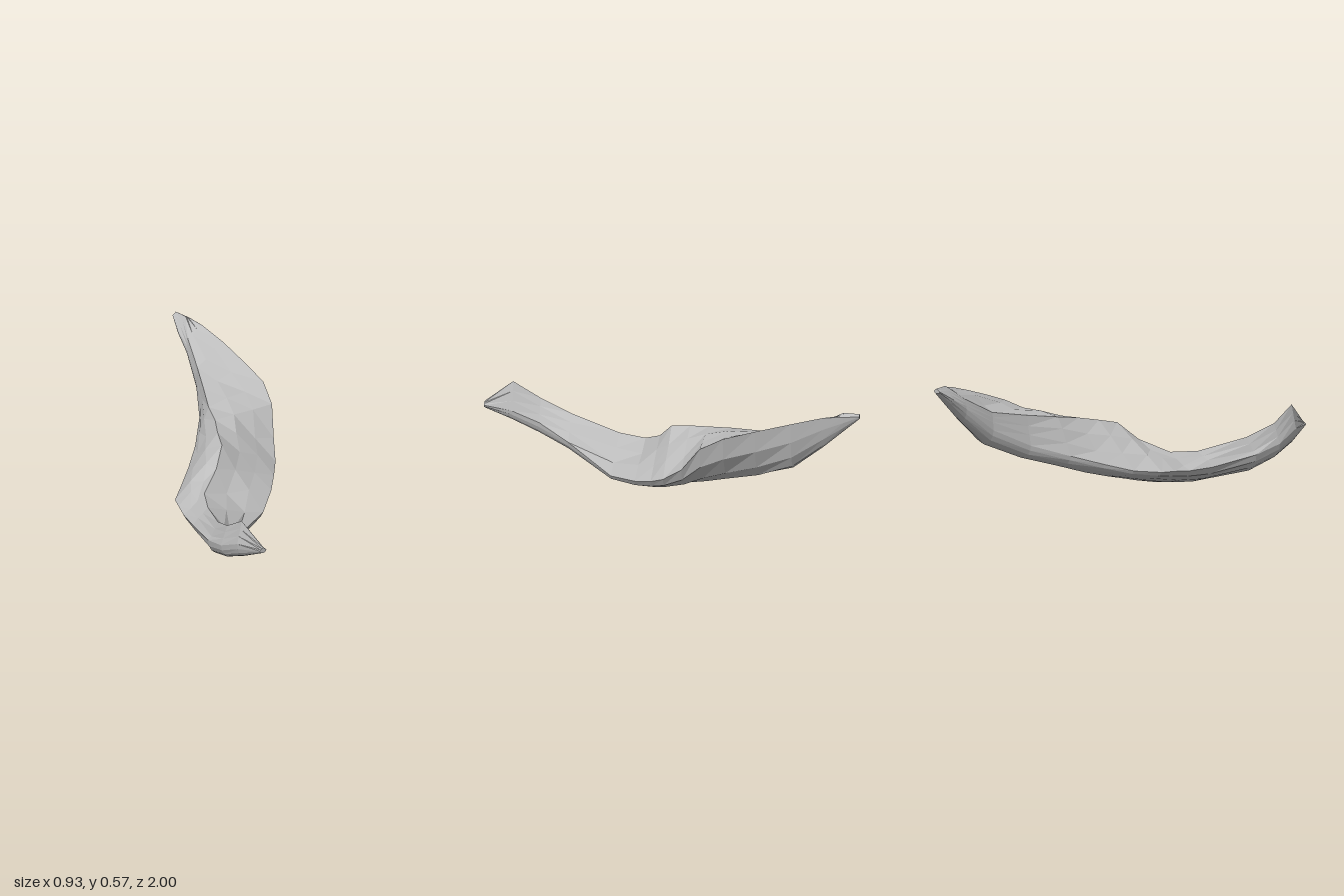
import * as THREE from 'three';

// Cross-sections, front to back: z, left edge x y, ridge x y, right edge x y, bottom x y
const SECTIONS = [
  [1.00, -0.42, 0.235, -0.40, 0.25, -0.38, 0.235, -0.40, 0.22],
  [0.86, -0.462, 0.23, -0.435, 0.35, -0.385, 0.21, -0.42, 0.155],
  [0.72, -0.467, 0.17, -0.43, 0.27, -0.37, 0.16, -0.41, 0.095],
  [0.56, -0.44, 0.13, -0.38, 0.215, -0.27, 0.10, -0.36, 0.04],
  [0.30, -0.36, 0.09, -0.27, 0.165, 0.06, 0.055, -0.15, 0.0],
  [0.16, -0.325, 0.085, -0.20, 0.17, 0.20, 0.085, -0.10, 0.01],
  [0.07, -0.295, 0.09, -0.07, 0.235, 0.275, 0.115, -0.06, 0.025],
  [0.00, -0.27, 0.09, 0.01, 0.32, 0.33, 0.15, -0.03, 0.04],
  [-0.10, -0.17, 0.10, 0.05, 0.34, 0.385, 0.225, 0.0, 0.06],
  [-0.20, -0.06, 0.135, 0.10, 0.358, 0.44, 0.36, 0.06, 0.085],
  [-0.32, 0.06, 0.18, 0.14, 0.372, 0.467, 0.43, 0.14, 0.125],
  [-0.48, 0.19, 0.24, 0.215, 0.392, 0.46, 0.475, 0.25, 0.175],
  [-0.66, 0.288, 0.33, 0.295, 0.42, 0.45, 0.52, 0.35, 0.255],
  [-0.82, 0.335, 0.45, 0.345, 0.50, 0.43, 0.555, 0.375, 0.385],
  [-0.92, 0.347, 0.51, 0.395, 0.575, 0.42, 0.56, 0.385, 0.475],
  [-1.00, 0.37, 0.555, 0.39, 0.57, 0.405, 0.56, 0.39, 0.545],
];
const TOP = 3, UNDER = 4; // subdivisions per quarter

function seeded(seed) {
  return () => (seed = (seed * 16807) % 2147483647) / 2147483647 - 0.5;
}

// Creased straight upper side and rounded underside
function ring([z, lx, ly, tx, ty, rx, ry, bx, by], rand) {
  const pts = [];
  const upper = (ax, ay, cx, cy) => {
    for (let k = 0; k < TOP; k++) {
      const t = k / TOP;
      const crumple = k && Math.abs(z) < 0.7 ? rand() * 0.025 : 0;
      pts.push([ax + (cx - ax) * t, ay + (cy - ay) * t + crumple, z]);
    }
  };
  upper(lx, ly, tx, ty);
  upper(tx, ty, rx, ry);
  for (let k = 0; k < UNDER * 2; k++) {
    const a = (k / UNDER) * Math.PI / 2;
    const [ex, ey] = k < UNDER ? [rx, ry] : [lx, ly];
    pts.push([bx + (ex - bx) * Math.abs(Math.cos(a)), ey + (by - ey) * Math.sin(a), z]);
  }
  return pts;
}

function huskGeometry() {
  const rand = seeded(71);
  const rings = SECTIONS.map((s) => ring(s, rand));
  const n = rings[0].length, last = rings.length - 1;
  const positions = rings.flat(2), index = [];
  for (let i = 0; i < last; i++) {
    for (let j = 0; j < n; j++) {
      const a = i * n + j, b = i * n + (j + 1) % n;
      index.push(a, b, a + n, b, b + n, a + n);
    }
  }
  // Close both tips
  for (let j = 1; j < n - 1; j++) {
    index.push(0, j + 1, j);
    index.push(last * n, last * n + j, last * n + j + 1);
  }
  const geometry = new THREE.BufferGeometry();
  geometry.setAttribute('position', new THREE.Float32BufferAttribute(positions, 3));
  geometry.setIndex(index);
  const flat = geometry.toNonIndexed();
  flat.computeVertexNormals();
  return flat;
}

export function createModel() {
  const group = new THREE.Group();
  group.name = 'curledHusk';
  const grey = new THREE.MeshStandardMaterial({ color: 0xbcbcbc });
  grey.name = 'husk grey';
  const husk = new THREE.Mesh(huskGeometry(), grey);
  husk.name = 'husk';
  group.add(husk);
  return group;
}
